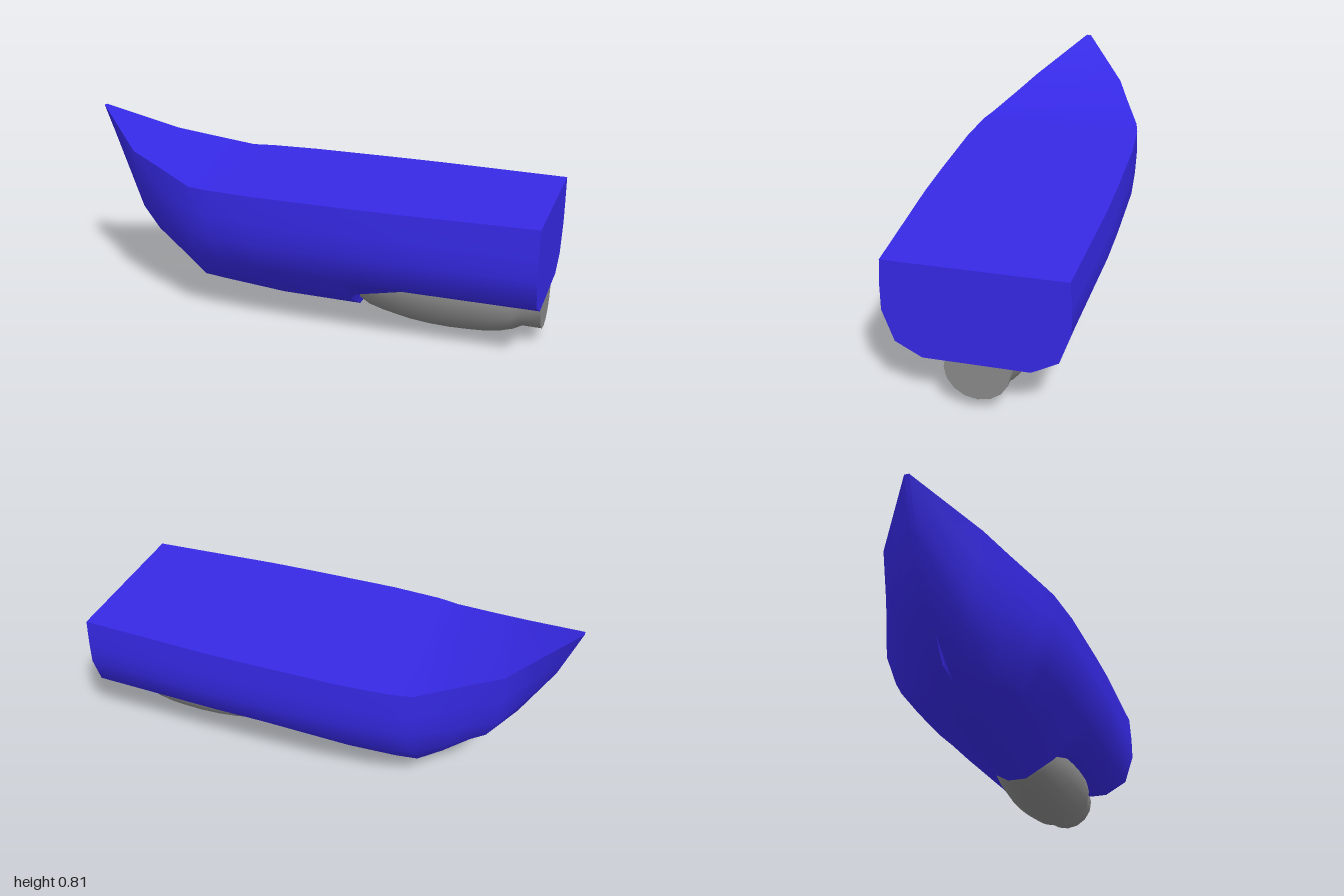
import * as THREE from 'three';
import { toCreasedNormals } from 'three/addons/utils/BufferGeometryUtils.js';

// Half sections from bow to stern; each runs deck edge -> keel as [x, y, z].
const at = (x, pts) => pts.map(([y, z]) => [x, y, z]);
const SECTIONS = [
  [[-1, .806, .01], [-.955, .69, .01], [-.92, .6, .01], [-.79, .37, .01], [-.72, .285, .01], [-.65, .197, .01]],
  [[-.75, .67, .205], [-.75, .55, .193], [-.74, .41, .16], [-.69, .3, .122], [-.62, .22, .08], [-.57, .16, .02]],
  [[-.62, .637, .256], [-.61, .53, .253], [-.6, .4, .243], [-.56, .275, .205], [-.52, .175, .14], [-.49, .12, .025]],
  at(-.43, [[.588, .335], [.48, .335], [.385, .328], [.26, .282], [.152, .2], [.1, .03]]),
  at(-.34, [[.588, .352], [.48, .354], [.385, .349], [.26, .3], [.148, .208], [.075, .035]]),
  at(-.13, [[.588, .365], [.48, .369], [.385, .367], [.26, .317], [.146, .215], [.046, .04]]),
  at(.22, [[.588, .365], [.48, .37], [.385, .37], [.26, .32], [.118, .168], [.046, .04]]),
  // step up to the shallow stern
  at(.24, [[.588, .365], [.48, .37], [.385, .37], [.26, .32], [.147, .178], [.147, .02]]),
  at(.45, [[.588, .362], [.48, .368], [.385, .368], [.26, .318], [.205, .21], [.205, .02]]),
  at(1, [[.588, .337], [.48, .343], [.385, .343], [.26, .3], [.205, .2], [.205, .02]]),
];

function hullGeometry() {
  // mirror every half section into a closed ring
  const rings = SECTIONS.map(s => [...s, ...[...s].reverse().map(([x, y, z]) => [x, y, -z])]);
  const n = rings[0].length, last = rings.length - 1;
  const index = [];
  const quad = (a, b, c, d) => index.push(a, b, c, a, c, d);
  // skin, with the deck as the closing strip
  for (let i = 0; i < last; i++) {
    for (let j = 0; j < n; j++) {
      const k = (j + 1) % n;
      quad(i * n + j, i * n + k, (i + 1) * n + k, (i + 1) * n + j);
    }
  }
  // narrow stem face and transom
  for (let j = 0; j < n / 2 - 1; j++) {
    const s = last * n;
    quad(n - 1 - j, n - 2 - j, j + 1, j);
    quad(s + j, s + j + 1, s + n - 2 - j, s + n - 1 - j);
  }
  const g = new THREE.BufferGeometry();
  g.setAttribute('position', new THREE.Float32BufferAttribute(rings.flat(2), 3));
  g.setIndex(index);
  return toCreasedNormals(g, 0.95);
}

function podGeometry() {
  // [radius, x] from nose to flat outlet
  const profile = [[0, .215], [.075, .218], [.112, .232], [.13, .265], [.146, .33], [.165, .44], [.173, .53],
    [.175, .62], [.172, .7], [.168, .76], [.157, .83], [.142, .88], [.123, .915], [.123, .994], [0, .994]];
  const g = new THREE.LatheGeometry(profile.map(([r, x]) => new THREE.Vector2(r, x)), 16);
  g.rotateZ(-Math.PI / 2);
  return toCreasedNormals(g, 0.9);
}

export function createModel() {
  const group = new THREE.Group();
  group.name = 'boat';

  const hull = new THREE.Mesh(hullGeometry(), new THREE.MeshStandardMaterial({ color: 0x3629e6 }));
  hull.name = 'hull';

  const pod = new THREE.Mesh(podGeometry(), new THREE.MeshStandardMaterial({ color: 0x8a8a8a }));
  pod.name = 'enginePod';
  pod.position.y = .175;

  group.add(hull, pod);
  return group;
}
